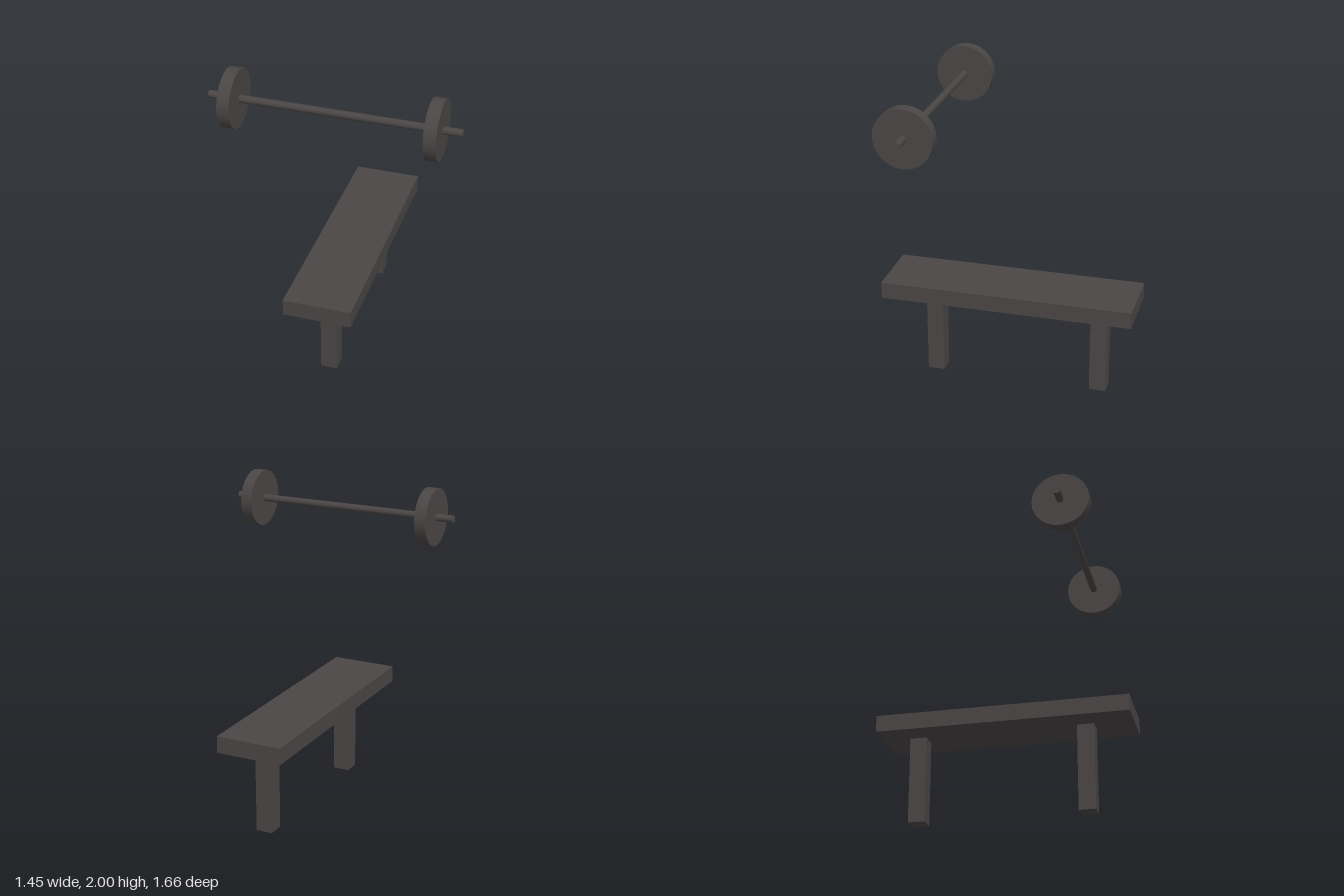
import * as THREE from 'three';

export function createModel() {
  const model = new THREE.Group();
  model.name = 'weightBench';
  const charcoal = new THREE.MeshStandardMaterial({ color: 0x4a4645 });
  charcoal.name = 'charcoal';
  const turn = -Math.PI / 9; // bench and barbell share the same heading

  const add = (parent, name, geometry, x, y, z) => {
    const mesh = new THREE.Mesh(geometry, charcoal);
    mesh.name = name;
    mesh.position.set(x, y, z);
    parent.add(mesh);
    return mesh;
  };

  // Bench: a flat slab on two square posts
  const bench = new THREE.Group();
  bench.name = 'bench';
  bench.position.set(0.16, 0, -0.006);
  bench.rotation.y = turn;
  model.add(bench);
  add(bench, 'seat', new THREE.BoxGeometry(0.428, 0.106, 1.602), 0, 0.608, 0);
  const legGeometry = new THREE.BoxGeometry(0.107, 0.555, 0.107);
  add(bench, 'frontLeg', legGeometry, 0, 0.2775, 0.5);
  add(bench, 'backLeg', legGeometry, 0, 0.2775, -0.57);

  // Barbell: a thin bar with one plate near each end
  const barbell = new THREE.Group();
  barbell.name = 'barbell';
  barbell.position.set(0, 1.818, 0.44);
  barbell.rotation.y = turn;
  model.add(barbell);
  const barGeometry = new THREE.CylinderGeometry(0.024, 0.024, 1.525, 12).rotateZ(Math.PI / 2);
  add(barbell, 'bar', barGeometry, 0, 0, 0);
  const plateGeometry = new THREE.CylinderGeometry(0.182, 0.182, 0.076, 24).rotateZ(Math.PI / 2);
  for (const [name, side] of [['leftPlate', 1], ['rightPlate', -1]]) {
    add(barbell, name, plateGeometry, side * 0.611, 0, 0);
  }

  return model;
}
